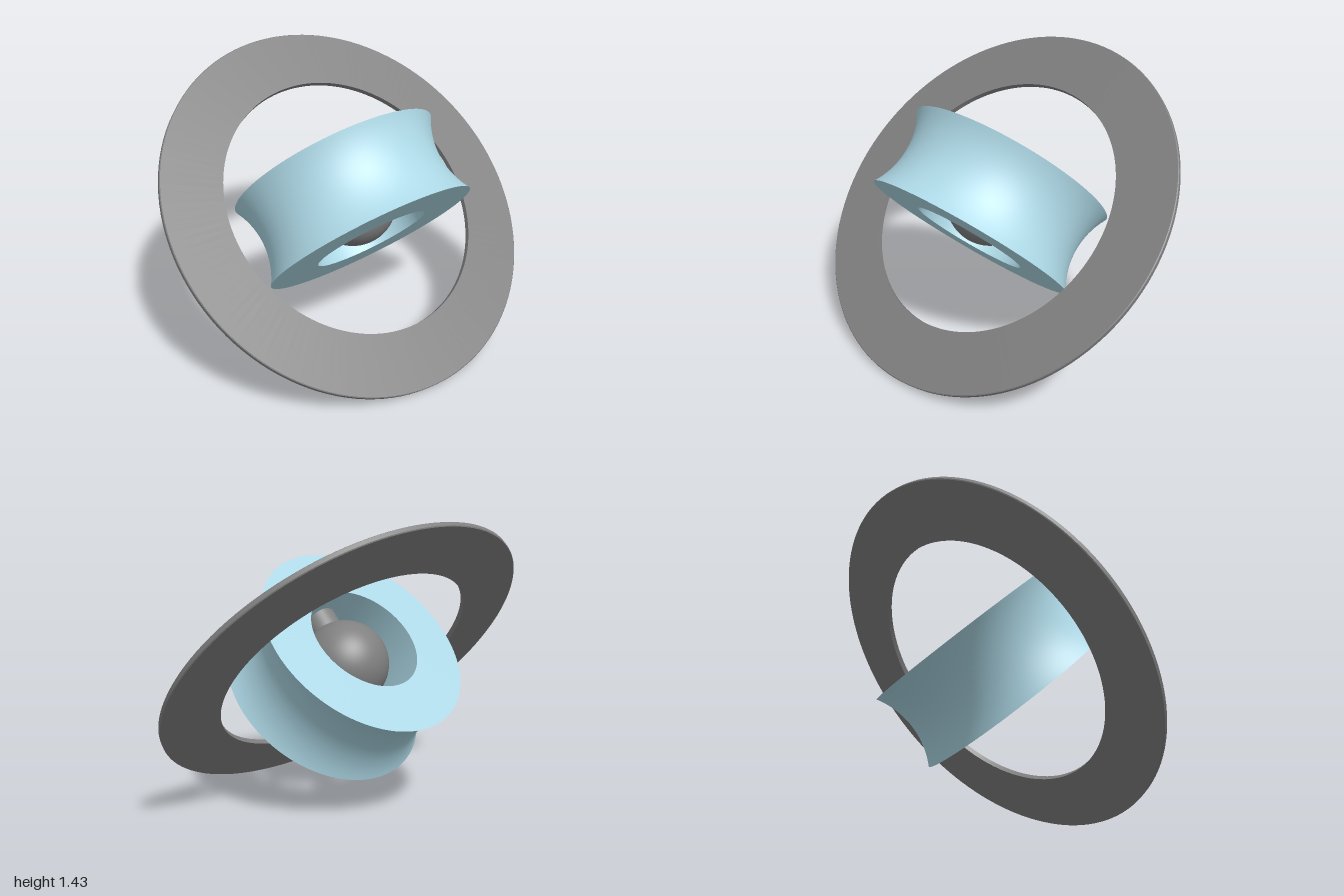
import * as THREE from 'three';
import { toCreasedNormals } from 'three/addons/utils/BufferGeometryUtils.js';

// Closed profile of [radius, height] pairs, listed counter-clockwise, spun about y
function spin(profile, segments = 128) {
  const points = [...profile, profile[0]].map(([r, h]) => new THREE.Vector2(r, h));
  return toCreasedNormals(new THREE.LatheGeometry(points, segments), 0.5);
}

export function createModel() {
  const blue = new THREE.MeshStandardMaterial({ color: 0xadd8e6 });
  blue.name = 'light blue';
  const gray = new THREE.MeshStandardMaterial({ color: 0x808080 });
  gray.name = 'gray';

  const model = new THREE.Group();
  const tilted = new THREE.Group();
  tilted.name = 'tiltedAssembly';
  tilted.position.y = 0.717;
  tilted.rotation.x = -Math.PI / 4;
  model.add(tilted);

  const add = (name, geometry, material) => {
    const mesh = new THREE.Mesh(geometry, material);
    mesh.name = name;
    tilted.add(mesh);
    return mesh;
  };

  // Hollow spool with a concave outer wall
  const half = 0.215, rim = 0.56, waist = 0.503, bore = 0.3;
  const sag = rim - waist;
  const arcRadius = (half * half + sag * sag) / (2 * sag);
  const arcAngle = Math.asin(half / arcRadius);
  const profile = [[bore, -half]];
  const steps = 20;
  for (let i = 0; i <= steps; i++) {
    const a = arcAngle * (2 * i / steps - 1);
    profile.push([waist + arcRadius * (1 - Math.cos(a)), arcRadius * Math.sin(a)]);
  }
  profile.push([bore, half]);
  add('spool', spin(profile), blue);

  // Ball in the bore, held by an axle across it
  add('ball', new THREE.SphereGeometry(0.225, 64, 40), gray);
  const axle = add('axle', new THREE.CylinderGeometry(0.09, 0.09, 0.64, 40), gray);
  axle.rotation.x = Math.PI / 2;

  // Flat outer ring, its plane containing the spool's axis
  const t = 0.014, c = 0.004;
  const ring = add('outerRing', spin([
    [0.695, -t], [1 - c, -t], [1, -t + c], [1, t - c], [1 - c, t], [0.695, t],
  ]), gray);
  ring.rotation.x = Math.PI / 2;

  return model;
}
